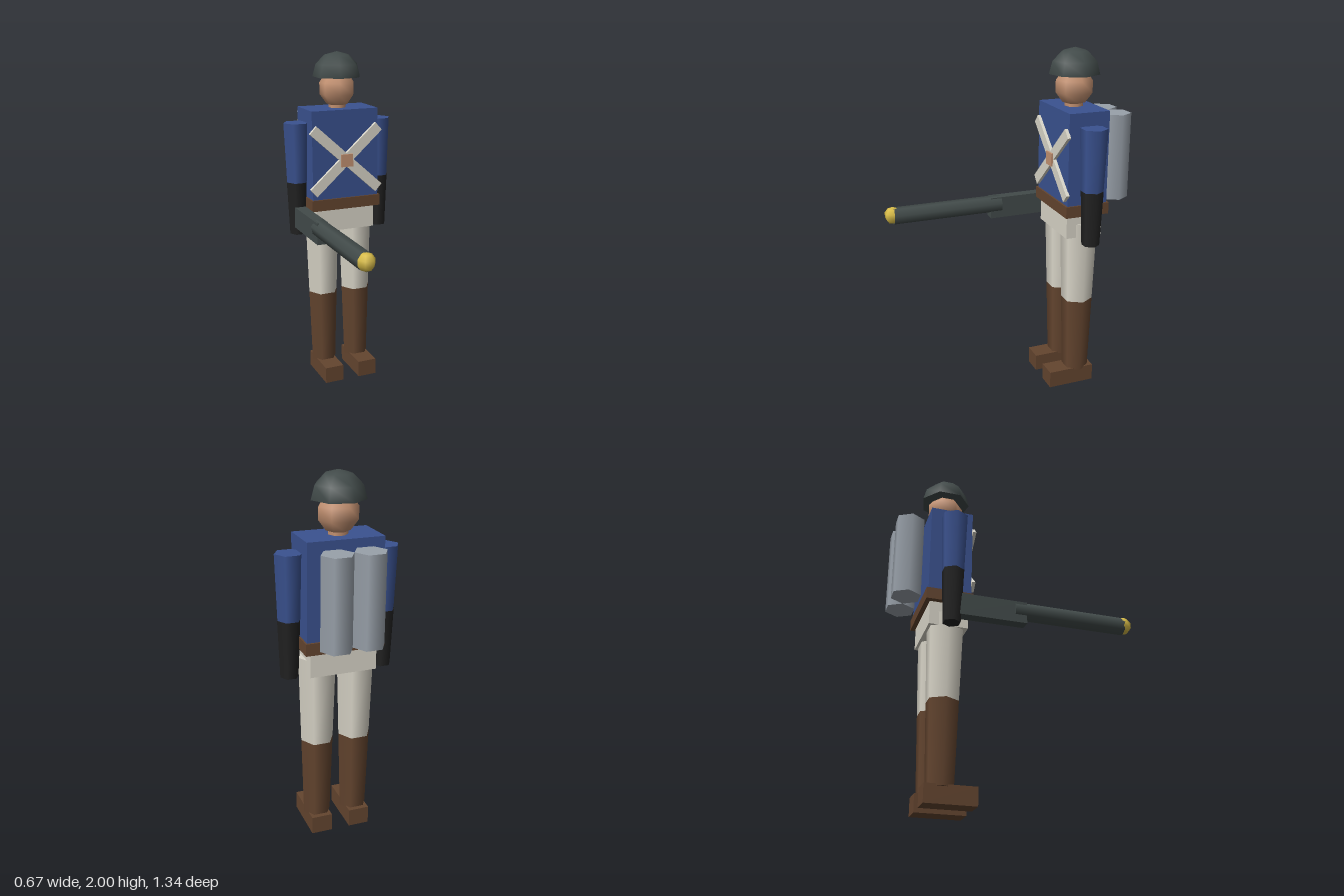
import * as THREE from 'three';

const mat = (name, color) => new THREE.MeshStandardMaterial({ name, color });

export function createModel() {
  const blue = mat('coatBlue', 0x3a5290);
  const brown = mat('leatherBrown', 0x64452f);
  const cloth = mat('paleCloth', 0xdad6c9);
  const skin = mat('skin', 0xc49272);
  const steel = mat('darkSteel', 0x424b4a);
  const black = mat('gloveBlack', 0x222222);
  const grey = mat('tankGrey', 0x99a1aa);
  const gold = mat('brass', 0xd8bc48);

  const model = new THREE.Group();
  model.name = 'soldier';
  const Z = -0.375; // body axis

  const add = (name, geometry, material, x, y, z) => {
    const mesh = new THREE.Mesh(geometry, material);
    mesh.name = name;
    mesh.position.set(x, y, z);
    model.add(mesh);
    return mesh;
  };
  const box = (name, material, w, h, d, x, y, z) =>
    add(name, new THREE.BoxGeometry(w, h, d), material, x, y, z);
  // Upright tapered prism with a corner on +x, from height y0 to y1
  const prism = (name, material, r1, r0, y0, y1, x, z, sides = 6) =>
    add(name, new THREE.CylinderGeometry(r1, r0, y1 - y0, sides, 1, false, Math.PI / 2),
      material, x, (y0 + y1) / 2, z);

  // Body
  box('torso', blue, 0.412, 0.52, 0.24, 0, 1.42, Z);
  box('belt', brown, 0.43, 0.066, 0.262, 0, 1.127, Z);
  box('pelvis', cloth, 0.366, 0.14, 0.216, 0, 1.03, Z + 0.003);

  // Limbs, mirrored
  for (const [side, s] of [['left', 1], ['right', -1]]) {
    prism(side + 'Thigh', cloth, 0.106, 0.091, 0.55, 1.037, s * 0.108, Z);
    prism(side + 'Boot', brown, 0.091, 0.077, 0.09, 0.55, s * 0.108, Z);
    box(side + 'Foot', brown, 0.116, 0.1, 0.28, s * 0.11, 0.05, -0.328);
    prism(side + 'Sleeve', blue, 0.076, 0.063, 1.255, 1.605, s * 0.26, Z);
    prism(side + 'Forearm', black, 0.063, 0.05, 0.94, 1.255, s * 0.262, Z);
    prism(side + 'Tank', grey, 0.0865, 0.0865, 1.15, 1.64, s * 0.0865, -0.596);
  }

  // Crossed straps and buckle
  for (const s of [1, -1]) {
    const strap = box('strap', cloth, 0.552, 0.06, 0.02, 0, 1.39, -0.247);
    strap.rotation.z = s * THREE.MathUtils.degToRad(42);
  }
  box('buckle', skin, 0.074, 0.074, 0.03, 0, 1.387, -0.242);

  // Head and helmet
  prism('neck', skin, 0.052, 0.052, 1.66, 1.75, 0, Z, 7);
  add('head', new THREE.SphereGeometry(0.11, 7, 5).rotateY(Math.PI), skin, 0, 1.79, Z);
  const dome = new THREE.SphereGeometry(0.144, 7, 3, 0, Math.PI * 2, 0, Math.PI / 2);
  add('helmet', dome.rotateY(Math.PI), steel, 0, 1.857, Z);
  add('helmetUnderside', new THREE.CircleGeometry(0.144, 7).rotateX(Math.PI / 2), steel, 0, 1.857, Z);

  // Gun held at the right hand
  box('gunStock', steel, 0.064, 0.125, 0.41, -0.261, 1.048, -0.167);
  add('gunBarrel', new THREE.CylinderGeometry(0.051, 0.051, 0.65, 7).rotateX(Math.PI / 2),
    steel, -0.257, 1.066, 0.297);
  add('muzzleTip', new THREE.SphereGeometry(0.05, 6, 5), gold, -0.26, 1.07, 0.624);

  return model;
}
